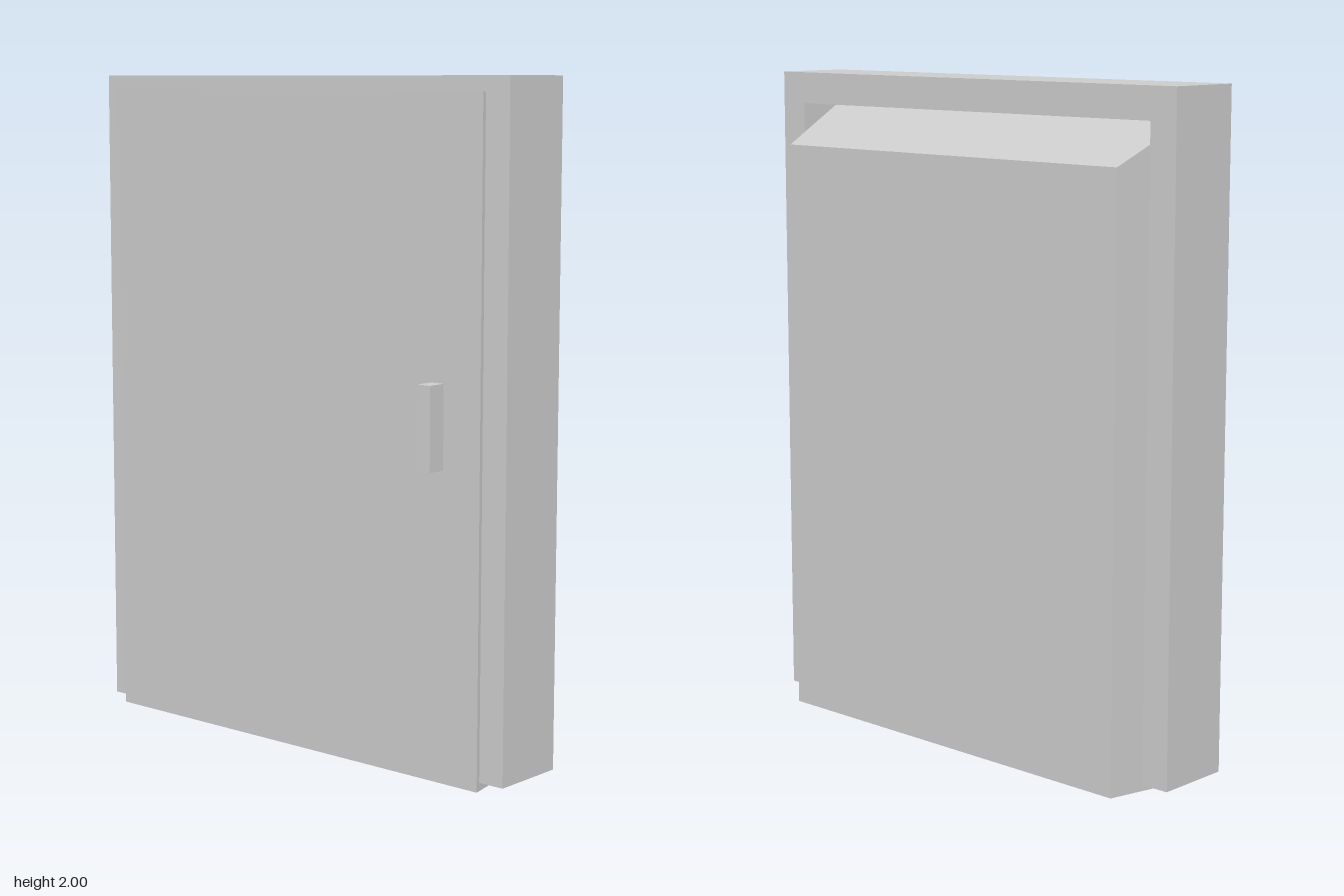
import * as THREE from 'three';

const material = new THREE.MeshStandardMaterial({ color: 0xcccccc, flatShading: true });

function addMesh(group, name, geometry) {
  const mesh = new THREE.Mesh(geometry, material);
  mesh.name = name;
  group.add(mesh);
  return mesh;
}

// U-shaped frame: two jambs and a header, open at the floor
function frameGeometry() {
  const outline = [
    [-0.78, 0.025], [-0.69, 0.025], [-0.69, 1.905], [0.69, 1.905],
    [0.69, 0.025], [0.78, 0.025], [0.78, 2], [-0.78, 2],
  ];
  const shape = new THREE.Shape(outline.map(([x, y]) => new THREE.Vector2(x, y)));
  return new THREE.ExtrudeGeometry(shape, { depth: 0.24, bevelEnabled: false }).translate(0, 0, -0.1);
}

// Thick door leaf: a box tapering towards the back, standing very slightly ajar
function doorGeometry() {
  const geometry = new THREE.BoxGeometry(1, 1, 1);
  const front = { left: -0.735, right: 0.70, bottom: 0, top: 1.96, z: 0.149 };
  const back = { left: -0.67, right: 0.64, bottom: 0.01, top: 1.785, z: -0.21 };
  const p = geometry.attributes.position;
  for (let i = 0; i < p.count; i++) {
    const face = p.getZ(i) > 0 ? front : back;
    const x = p.getX(i) > 0 ? face.right : face.left;
    const y = p.getY(i) > 0 ? face.top : face.bottom;
    p.setXYZ(i, x, y, face.z + 0.008 * x);
  }
  geometry.computeVertexNormals();
  return geometry;
}

export function createModel() {
  const group = new THREE.Group();
  group.name = 'door';
  addMesh(group, 'doorFrame', frameGeometry());
  addMesh(group, 'doorLeaf', doorGeometry());

  // Upright block handle, set into the front of the leaf
  const handle = addMesh(group, 'handle', new THREE.BoxGeometry(0.046, 0.245, 0.07));
  handle.position.set(0.547, 1.028, 0.178);
  return group;
}
